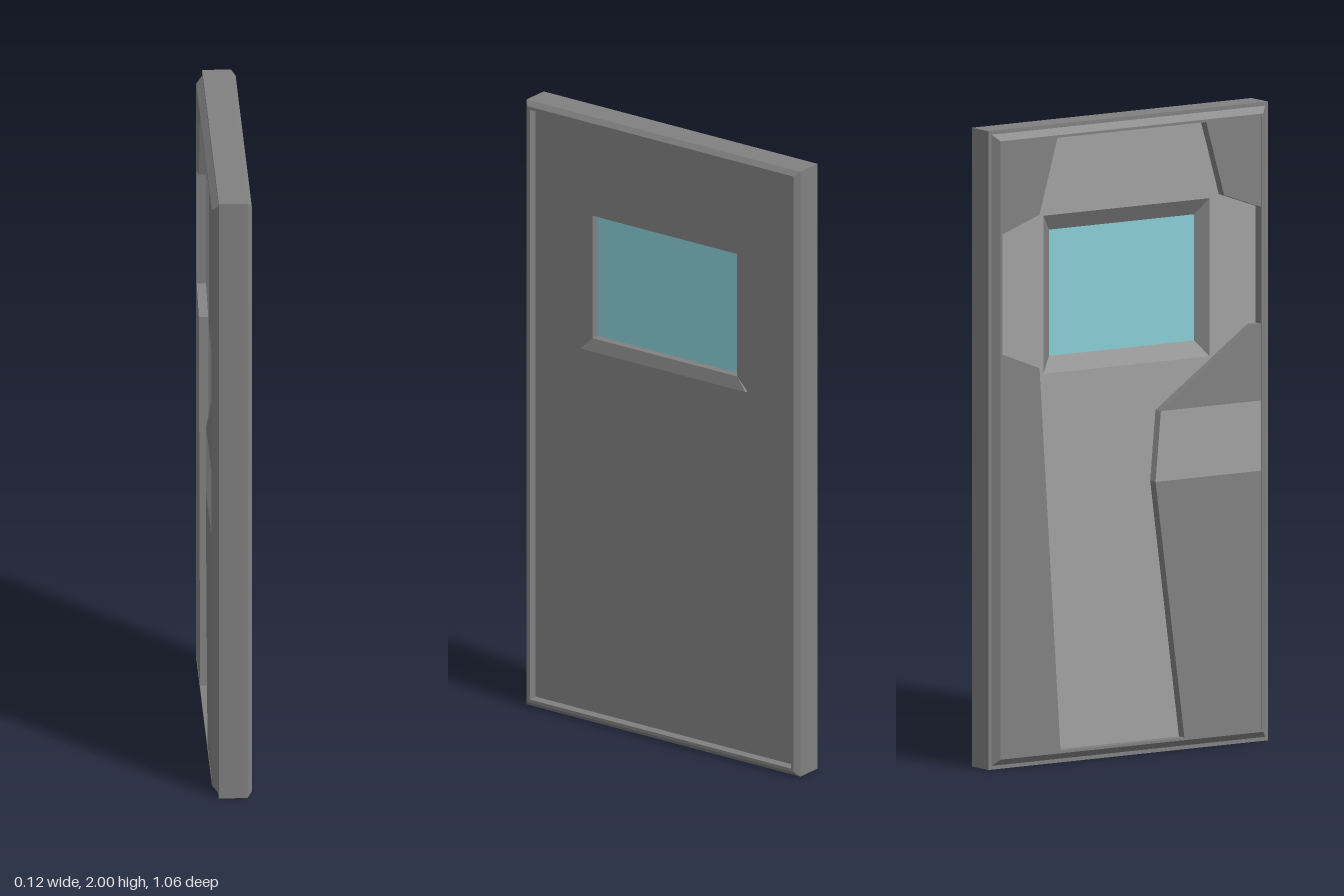
import * as THREE from 'three';

const dark = new THREE.MeshStandardMaterial({ color: 0x808080, flatShading: true });
const light = new THREE.MeshStandardMaterial({ color: 0xa0a0a0, flatShading: true });
const glassMat = new THREE.MeshStandardMaterial({ color: 0x88ccd4 });

// Corners of a rectangle in the door plane, as [z, y]
const rect = (hz, y0, y1) => [[-hz, y0], [hz, y0], [hz, y1], [-hz, y1]];

// Flat plate with its outline in (z, y), running from x0 back to x1
function plate(outline, x0, x1, hole) {
  const toPts = (a) => a.map(([z, y]) => new THREE.Vector2(z, y));
  const shape = new THREE.Shape(toPts(outline));
  if (hole) shape.holes.push(new THREE.Path(toPts(hole)));
  const g = new THREE.ExtrudeGeometry(shape, { depth: x0 - x1, bevelEnabled: false });
  return g.rotateY(-Math.PI / 2).translate(x0, 0, 0);
}

// Skin through a series of rectangles; each entry is [corners, x]
function rectLoft(rings) {
  const pos = [];
  const at = (i, k) => {
    const [z, y] = rings[i][0][k % 4];
    return [rings[i][1], y, z];
  };
  for (let i = 0; i < rings.length - 1; i++) {
    for (let k = 0; k < 4; k++) {
      const a = at(i, k), b = at(i, k + 1), c = at(i + 1, k + 1), d = at(i + 1, k);
      pos.push(...a, ...b, ...c, ...a, ...c, ...d);
    }
  }
  const g = new THREE.BufferGeometry();
  g.setAttribute('position', new THREE.Float32BufferAttribute(pos, 3));
  g.computeVertexNormals();
  return g;
}

export function createModel() {
  const door = new THREE.Group();
  door.name = 'door';
  const add = (name, geometry, material) => {
    const m = new THREE.Mesh(geometry, material);
    m.name = name;
    door.add(m);
    return m;
  };

  // Bevelled outer frame: [inset, x] from the inner lip of one face to the other
  const profile = [
    [0.03, 0.04], [0.025, 0.061], [0.015, 0.061], [0, 0.047], [0, -0.042],
    [0.012, -0.042], [0.032, -0.062], [0.04, -0.062], [0.04, -0.03],
  ];
  add('outerFrame', rectLoft(profile.map(([d, x]) => [rect(0.53 - d, d, 2 - d), x])), dark);

  // Smooth face and recessed patterned face, both with a window opening
  add('plainPanel', plate(rect(0.505, 0.025, 1.975), 0.04, -0.005, rect(0.28, 1.265, 1.67)), dark);
  const wide = rect(0.315, 1.22, 1.715);
  add('recessedPanel', plate(rect(0.495, 0.035, 1.965), -0.005, -0.032, wide), light);

  // Window
  add('windowSurround', rectLoft([[wide, -0.032], [rect(0.275, 1.27, 1.665), -0.006]]), dark);
  const glass = add('windowGlass', new THREE.BoxGeometry(0.012, 0.42, 0.57), glassMat);
  glass.position.set(0.008, 1.4675, 0);

  // Sloping sill with mitred ends
  const sillShape = new THREE.Shape([
    new THREE.Vector2(0.038, 1.225), new THREE.Vector2(0.05, 1.225), new THREE.Vector2(0.04, 1.265),
    new THREE.Vector2(0.038, 1.265),
  ]);
  const sill = new THREE.ExtrudeGeometry(sillShape, { depth: 0.64, bevelEnabled: false }).translate(0, 0, -0.32);
  const p = sill.attributes.position;
  for (let i = 0; i < p.count; i++) if (p.getY(i) > 1.25) p.setZ(i, p.getZ(i) * 0.875);
  sill.computeVertexNormals();
  add('windowSill', sill, dark);

  // Raised armour plates on the patterned face
  const raised = (name, outline, material = dark) => add(name, plate(outline, -0.03, -0.061), material);
  for (const s of [-1, 1]) {
    raised(s < 0 ? 'upperPlateBack' : 'upperPlateFront',
      [[s * 0.492, 1.966], [s * 0.28, 1.966], [s * 0.35, 1.725], [s * 0.492, 1.675]]);
  }
  raised('lowerPlateBack', [[-0.492, 0.034], [-0.27, 0.034], [-0.35, 1.245], [-0.492, 1.3]]);
  raised('middlePlateFront', [[0.492, 1.31], [0.46, 1.31], [0.11, 1.07], [0.492, 1.07]]);
  raised('bandPlateFront', [[0.492, 1.07], [0.11, 1.07], [0.09, 0.85], [0.492, 0.85]], light);
  raised('lowerPlateFront', [[0.492, 0.85], [0.09, 0.85], [0.2, 0.034], [0.492, 0.034]]);

  return door;
}
